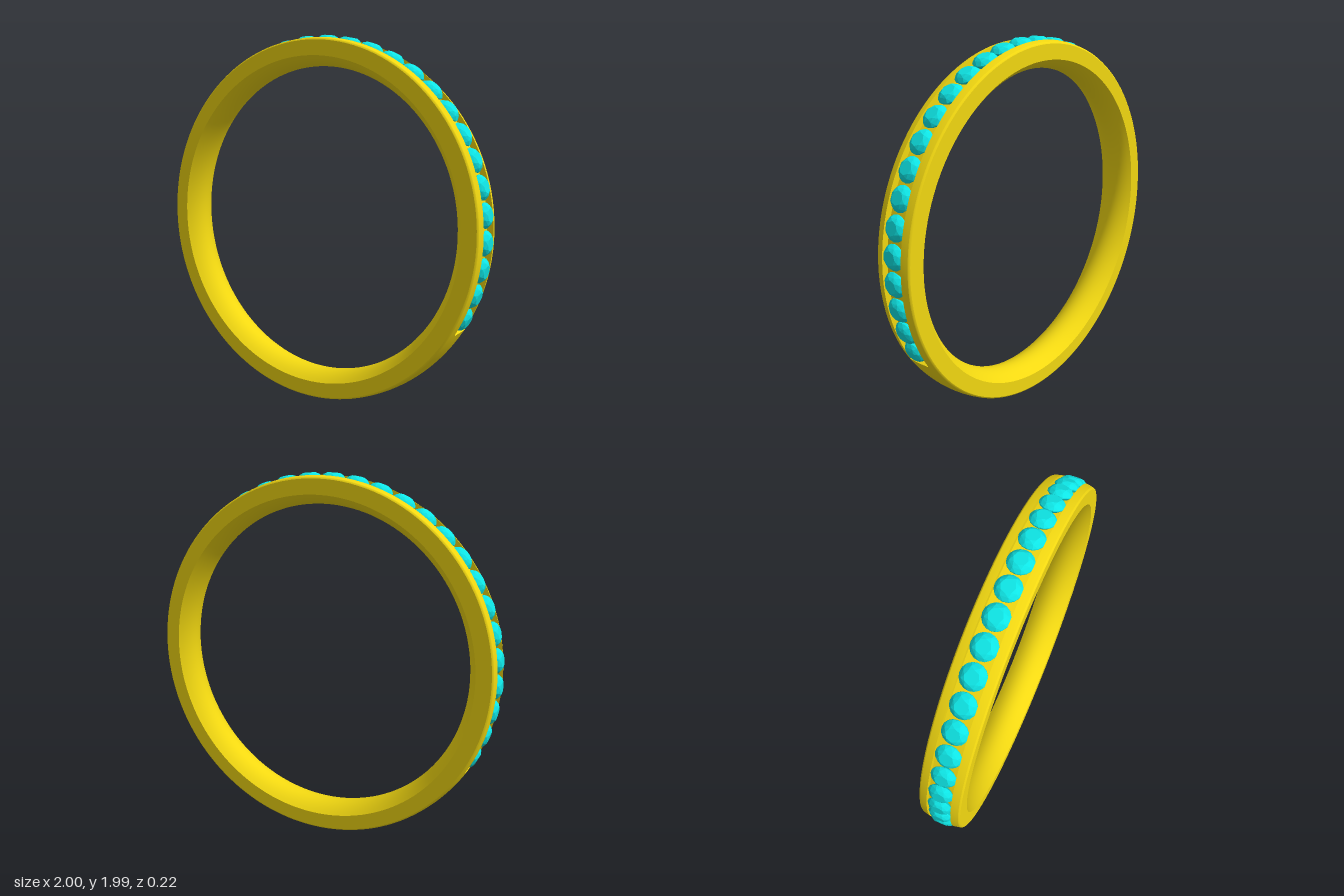
import * as THREE from 'three';
import { ConvexGeometry } from 'three/addons/geometries/ConvexGeometry.js';

const HALF = 0.108;      // half width of the band
const EDGE = 0.1;        // where the rounded outer edge begins
const SLOT = 0.063;      // half width of the gem channel
const FLOOR = 0.955;     // radius of the channel floor
const GEMS = 30;
const ARC = Math.PI * 4 / 3;   // angle covered by the channel
const START = Math.PI / 3;     // channel start, measured from the bottom

const outerR = z => 0.992 - 1.3 * z * z;
const innerR = z => 0.84 + 0.05 * (z / HALF) ** 2;

// Sample a radius rule from z = a to z = b
function profile(rule, a, b, n) {
  return Array.from({ length: n + 1 }, (_, i) => {
    const z = a + (b - a) * i / n;
    return new THREE.Vector2(rule(z), z);
  });
}

// One smooth strip of the band, revolved around z with angle 0 at the bottom
function strip(name, points, material, start = 0, length = Math.PI * 2) {
  const segments = Math.round(144 * length / (Math.PI * 2));
  const geometry = new THREE.LatheGeometry(points, segments, start, length);
  geometry.rotateX(Math.PI / 2);
  const mesh = new THREE.Mesh(geometry, material);
  mesh.name = name;
  return mesh;
}

// Round brilliant cut: table, crown, girdle and pavilion point, pointing up y
function gemGeometry() {
  const points = [new THREE.Vector3(0, -0.07, 0)];
  const ring = (r, y, n, offset) => {
    for (let i = 0; i < n; i++) {
      const a = (i + offset) / n * Math.PI * 2;
      points.push(new THREE.Vector3(r * Math.cos(a), y, r * Math.sin(a)));
    }
  };
  ring(0.035, 0.026, 8, 0);
  ring(0.051, 0.017, 8, 0.5);
  ring(0.064, 0, 16, 0);
  ring(0.064, -0.005, 16, 0);
  return new ConvexGeometry(points);
}

export function createModel() {
  const gold = new THREE.MeshStandardMaterial({ color: 0xf2d811, side: THREE.DoubleSide });
  const gemMaterial = new THREE.MeshStandardMaterial({ color: 0x0ee6e6, flatShading: true });
  const V = (r, z) => new THREE.Vector2(r, z);

  const model = new THREE.Group();
  model.name = 'ring';
  const ring = new THREE.Group();
  ring.position.y = 1;
  model.add(ring);

  // Band: inner surface, flat sides and rounded outer edges
  const band = new THREE.Group();
  band.name = 'band';
  ring.add(band);
  band.add(strip('innerSurface', profile(innerR, HALF, -HALF, 14), gold));
  band.add(strip('frontFace', [V(0.97, HALF), V(innerR(HALF), HALF)], gold));
  band.add(strip('backFace', [V(innerR(HALF), -HALF), V(0.97, -HALF)], gold));
  band.add(strip('frontEdge', [V(outerR(EDGE), EDGE), V(0.976, 0.105), V(0.97, HALF)], gold));
  band.add(strip('backEdge', [V(0.97, -HALF), V(0.976, -0.105), V(outerR(EDGE), -EDGE)], gold));

  // Plain outer surface below, rails and sunken channel above
  band.add(strip('plainShank', profile(outerR, -EDGE, EDGE, 12), gold, -START, START * 2));
  band.add(strip('frontRail', profile(outerR, SLOT, EDGE, 4), gold, START, ARC));
  band.add(strip('backRail', profile(outerR, -EDGE, -SLOT, 4), gold, START, ARC));
  band.add(strip('channelFloor', [V(FLOOR, -SLOT), V(FLOOR, SLOT)], gold, START, ARC));
  band.add(strip('frontChannelWall', [V(FLOOR, SLOT), V(outerR(SLOT), SLOT)], gold, START, ARC));
  band.add(strip('backChannelWall', [V(outerR(SLOT), -SLOT), V(FLOOR, -SLOT)], gold, START, ARC));

  // Walls closing both ends of the channel
  const depth = 0.99 - FLOOR;
  for (const side of [1, -1]) {
    const pivot = new THREE.Group();
    pivot.name = side > 0 ? 'leftChannelEnd' : 'rightChannelEnd';
    pivot.rotation.z = side * (START - Math.PI);
    const wall = new THREE.Mesh(new THREE.PlaneGeometry(SLOT * 2, depth), gold);
    wall.rotation.y = side * Math.PI / 2;
    wall.position.y = FLOOR + depth / 2;
    pivot.add(wall);
    band.add(pivot);
  }

  // Row of gems along the channel
  const gems = new THREE.Group();
  gems.name = 'gems';
  ring.add(gems);
  const cut = gemGeometry();
  for (let i = 0; i < GEMS; i++) {
    const angle = ((i + 0.5) / GEMS - 0.5) * ARC;
    const gem = new THREE.Mesh(cut, gemMaterial);
    gem.name = 'gem';
    gem.position.set(Math.sin(angle) * 0.974, Math.cos(angle) * 0.974, 0);
    gem.rotation.z = -angle;
    gems.add(gem);
  }
  return model;
}
